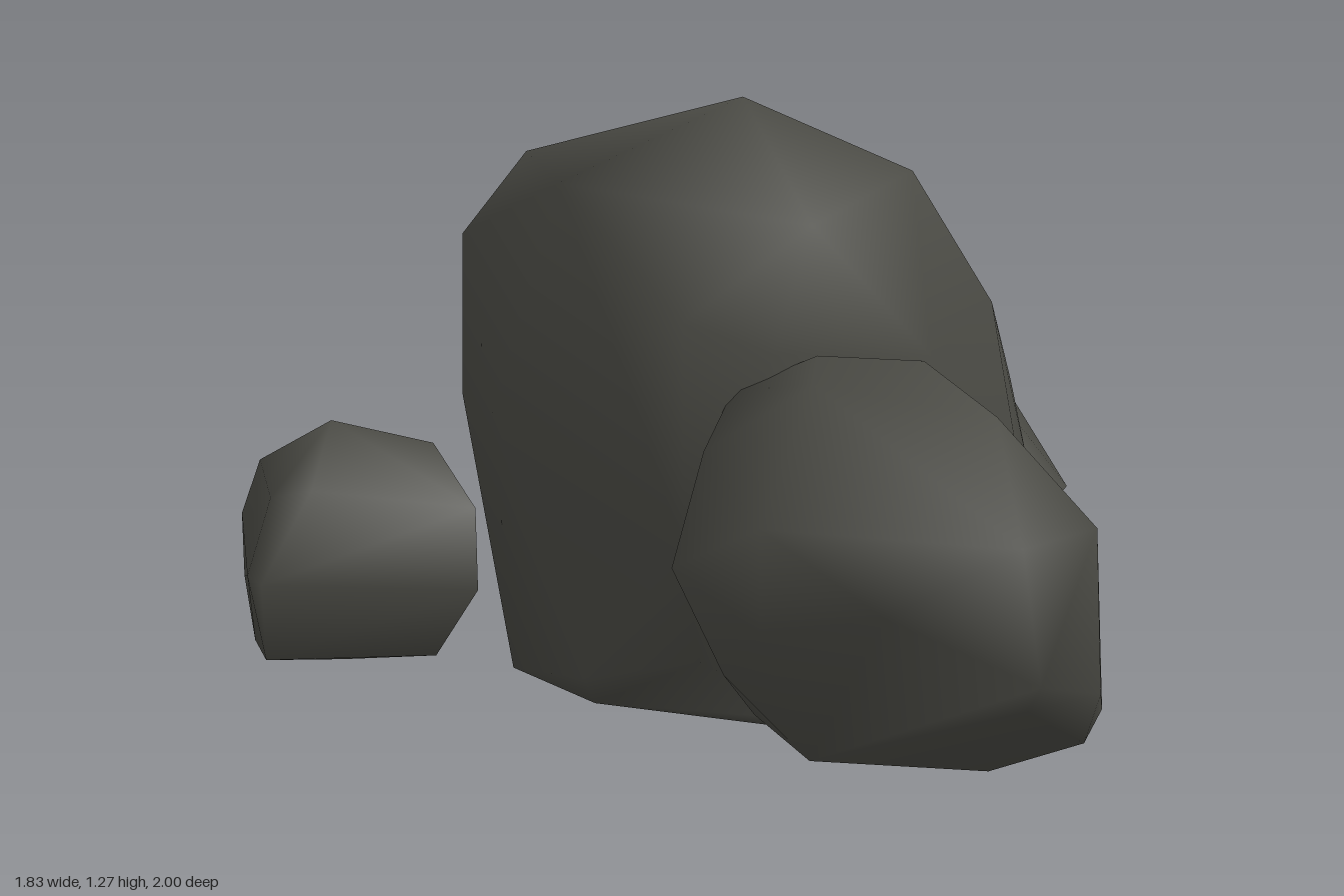
import * as THREE from 'three';
import { ConvexGeometry } from 'three/addons/geometries/ConvexGeometry.js';
import { mergeVertices } from 'three/addons/utils/BufferGeometryUtils.js';

const stone = new THREE.MeshStandardMaterial({ color: 0x4b4b45 });
stone.name = 'darkStone';

// A boulder is the convex hull of its corners, with normals smoothed across facets
function boulder(name, corners) {
  const hull = new ConvexGeometry(corners.map((c) => new THREE.Vector3(...c)));
  hull.deleteAttribute('normal');
  const geometry = mergeVertices(hull, 1e-4);
  geometry.computeVertexNormals();
  const mesh = new THREE.Mesh(geometry, stone);
  mesh.name = name;
  return mesh;
}

export function createModel() {
  const group = new THREE.Group();
  group.name = 'rockCluster';

  group.add(boulder('mainBoulder', [
    // crown
    [-0.45, 1.17, -0.23], [0.01, 1.27, -0.27], [-0.1, 1.13, 0.18], [0.24, 1.15, 0.01],
    [0.33, 1.05, -0.12], [0.21, 1.1, -0.5], [-0.3, 1.12, -0.6],
    // shoulders
    [-0.4, 0.97, 0.17], [-0.31, 0.89, -0.83], [-0.24, 0.9, 0.26], [-0.17, 0.89, 0.26],
    [-0.05, 0.9, 0.22], [0.2, 0.8, 0.15], [0.47, 0.82, -0.06], [0.39, 0.85, -0.59],
    [0.6, 0.6, -0.2],
    // waist
    [-0.31, 0.55, -0.83], [0.69, 0.42, -0.34], [0.66, 0.4, -0.23], [0.51, 0.45, -0.01],
    [0.2, 0.45, 0.16], [0.49, 0.63, -0.55], [0.37, 0.4, -0.61], [-0.4, 0.5, 0.17],
    [-0.41, 0.6, -0.55],
    // foot
    [0.53, 0.18, -0.22], [0.45, 0.11, 0.02], [-0.1, 0.09, 0.18], [-0.36, 0.25, 0.17],
    [-0.36, 0.1, -0.28], [0.3, 0.2, -0.62], [0.15, 0.05, -0.57],
    [0.32, 0.04, 0.11], [0.01, 0, -0.27], [-0.29, 0.02, -0.35], [-0.3, 0.02, -0.65],
    [-0.05, 0.04, 0.1],
  ]));

  group.add(boulder('frontBoulder', [
    // top
    [-0.28, 0.9, 0.48], [-0.02, 0.91, 0.48], [-0.03, 0.87, 0.78], [-0.15, 0.89, 0.28],
    [0.04, 0.85, 0.28], [-0.3, 0.82, 0.2],
    // nose
    [-0.06, 0.36, 1], [-0.09, 0.65, 0.98], [0.16, 0.28, 0.87], [0.17, 0.62, 0.84],
    [0.23, 0.21, 0.76], [-0.05, 0.29, 0.93], [-0.32, 0.5, 0.82],
    // sides
    [0.16, 0.71, 0.28], [0.26, 0.55, 0.55], [0.26, 0.55, 0.3], [0.33, 0.37, 0.45],
    [0.33, 0.15, 0.45], [0.18, 0.5, 0.15], [-0.42, 0.28, 0.36], [-0.5, 0.5, 0.29],
    [-0.45, 0.42, 0.55], [-0.45, 0.64, 0.55], [-0.4, 0.72, 0.25], [-0.41, 0.45, 0.16],
    // underside
    [0.26, 0.18, 0.25], [0.23, 0.12, 0.69], [0.05, 0.05, 0.48], [-0.02, 0.11, 0.73],
    [-0.29, 0.11, 0.48], [-0.25, 0.13, 0.2], [0, 0.12, 0.17],
  ]));

  group.add(boulder('backLeftBoulder', [
    // top
    [0.58, 0.62, -0.69], [0.68, 0.59, -0.57], [0.5, 0.57, -0.48], [0.78, 0.55, -0.74],
    [0.81, 0.5, -0.83], [0.55, 0.53, -0.81], [0.3, 0.5, -0.7], [0.85, 0.45, -0.65],
    [0.6, 0.42, -0.34],
    // sides
    [0.62, 0.34, -0.23], [0.63, 0.21, -0.27], [0.83, 0.3, -0.36], [0.91, 0.21, -0.56],
    [0.89, 0.25, -0.72], [0.83, 0.41, -0.86], [0.78, 0.21, -0.98], [0.73, 0.29, -1],
    [0.5, 0.35, -0.97], [0.32, 0.4, -0.92], [0.2, 0.31, -0.86], [0.15, 0.34, -0.81],
    [0.16, 0.3, -0.6], [0.35, 0.3, -0.4],
    // underside
    [0.86, 0.13, -0.73], [0.72, 0.12, -0.94], [0.35, 0.12, -0.75], [0.69, 0.1, -0.56],
    [0.52, 0.1, -0.52],
  ]));

  group.add(boulder('backRightBoulder', [
    // top
    [-0.7, 0.59, -0.7], [-0.52, 0.54, -0.6], [-0.49, 0.48, -0.77], [-0.62, 0.48, -0.86],
    [-0.74, 0.46, -0.91], [-0.82, 0.49, -0.58], [-0.88, 0.47, -0.64],
    // sides
    [-0.92, 0.3, -0.61], [-0.91, 0.3, -0.68], [-0.84, 0.3, -0.79], [-0.74, 0.33, -0.98],
    [-0.74, 0.2, -0.97], [-0.62, 0.31, -0.92], [-0.48, 0.32, -0.77], [-0.43, 0.35, -0.59],
    [-0.53, 0.45, -0.42], [-0.53, 0.28, -0.41],
    // underside
    [-0.89, 0.13, -0.64], [-0.53, 0.14, -0.62], [-0.58, 0.13, -0.49], [-0.7, 0.1, -0.65],
    [-0.8, 0.11, -0.83], [-0.66, 0.12, -0.87],
  ]));

  return group;
}
